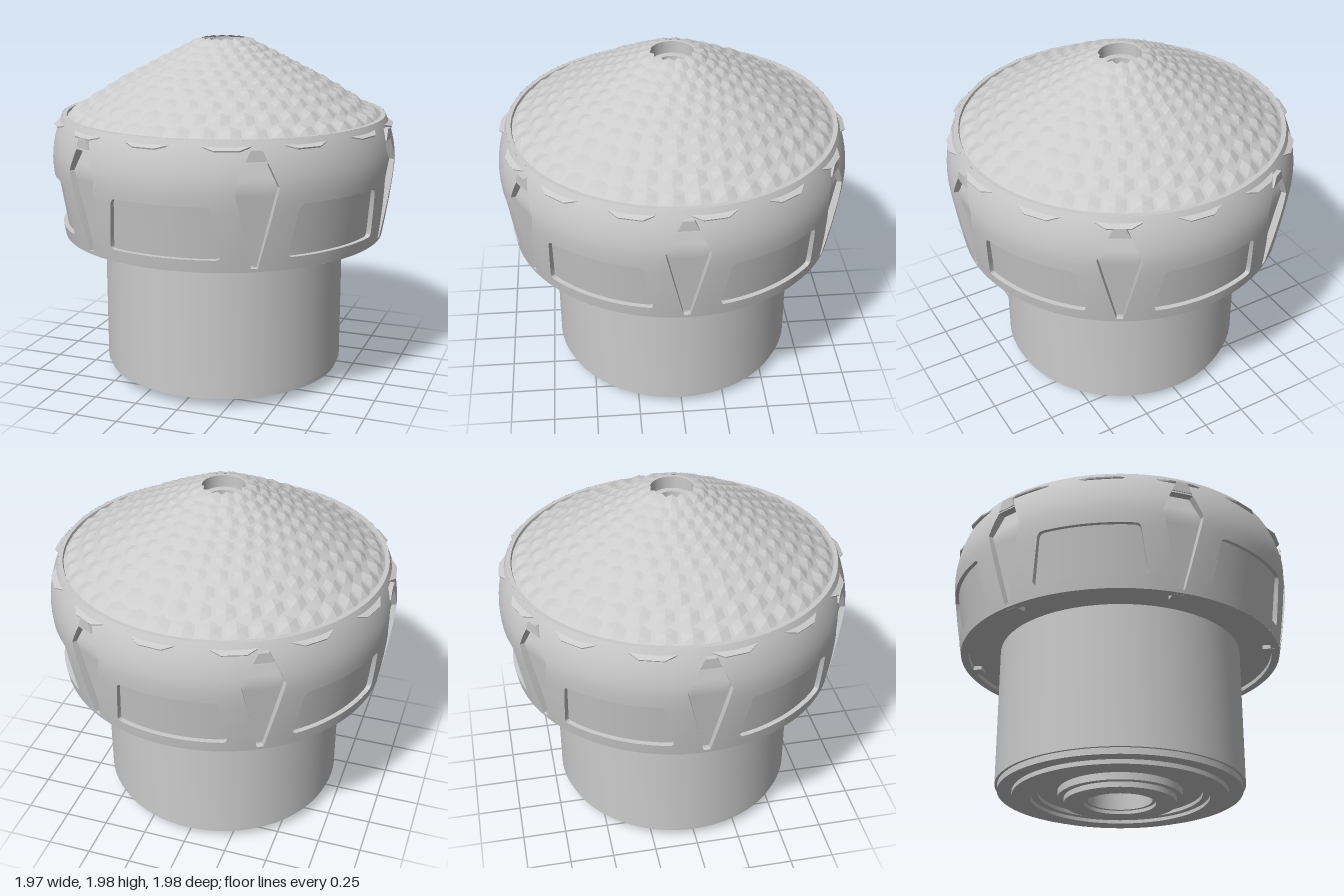
import * as THREE from 'three';
import { mergeGeometries, toCreasedNormals } from 'three/addons/utils/BufferGeometryUtils.js';

const smooth = new THREE.MeshStandardMaterial({ color: 0xcccccc, side: THREE.DoubleSide });
const faceted = new THREE.MeshStandardMaterial({ color: 0xcccccc, flatShading: true });
const { lerp, clamp } = THREE.MathUtils;
const SECTORS = 6, PITCH = Math.PI / 3;

// Piecewise linear lookup through [input, output] pairs
function ramp(pairs, v) {
  v = clamp(v, pairs[0][0], pairs[pairs.length - 1][0]);
  for (let i = 1; i < pairs.length; i++) {
    const [a, p] = pairs[i - 1], [b, q] = pairs[i];
    if (v <= b) return lerp(p, q, (v - a) / (b - a));
  }
}

// Head outline, recess half-angles and recess floors
const headRadius = y => y < 1.3
  ? 0.99 - 0.06 * ((1.3 - y) / 0.435) ** 1.3
  : 0.99 - 0.06 * ((y - 1.3) / 0.26) ** 2;
const WIN = [0.935, 1.225], KITE = [0.885, 1.445], CORNER = 0.025;
function windowAngle(y) {
  const v = clamp(y, ...WIN);
  const e = Math.max(0, CORNER - Math.min(v - WIN[0], WIN[1] - v));
  const half = ramp([[WIN[0], 0.312], [WIN[1], 0.277]], v) - CORNER + Math.sqrt(CORNER ** 2 - e ** 2);
  return Math.asin(half / headRadius(v));
}
const kiteAngle = y => ramp([[KITE[0], 0.018], [1.32, 0.118], [KITE[1], 0.062]], y) / headRadius(y);
const windowFloor = (a, y) => ramp([[WIN[0], 0.915], [WIN[1], 0.962]], y);
const kiteFloor = (a, y) =>
  ramp([[KITE[0], 0.9], [1.32, 0.955], [KITE[1], 0.925]], y) / Math.cos(a - PITCH / 2);
const wall = (a, y) => headRadius(y);

// Surface from a grid of points; rows run upward, columns to the right
function gridGeometry(rows) {
  const n = rows[0].length, pos = [], index = [];
  rows.forEach(row => row.forEach(p => pos.push(...p)));
  for (let j = 0; j < rows.length - 1; j++) for (let i = 0; i < n - 1; i++) {
    const a = j * n + i;
    index.push(a, a + 1, a + n + 1, a, a + n + 1, a + n);
  }
  const g = new THREE.BufferGeometry();
  g.setAttribute('position', new THREE.Float32BufferAttribute(pos, 3));
  g.setIndex(index);
  return g;
}
const polar = (a, r, y) => [r * Math.sin(a), y, r * Math.cos(a)];
const patch = (ys, from, to, n, radius) => gridGeometry(ys.map(y =>
  Array.from({ length: n + 1 }, (_, i) => {
    const a = lerp(from(y), to(y), i / n);
    return polar(a, radius(a, y), y);
  })));

// Recess sides: follow the outline and join wall to floor
function recessSides(ys, centre, half, n, floor) {
  const loop = [], top = ys[ys.length - 1];
  ys.forEach(y => loop.push([centre + half(y), y]));
  for (let i = 1; i < n; i++) loop.push([centre + half(top) * (1 - 2 * i / n), top]);
  [...ys].reverse().forEach(y => loop.push([centre - half(y), y]));
  for (let i = 1; i <= n; i++) loop.push([centre + half(ys[0]) * (2 * i / n - 1), ys[0]]);
  return gridGeometry([floor, wall].map(r => loop.map(([a, y]) => polar(a, r(a, y), y))));
}

// One sixth of the head: a window in the middle, a kite at its right edge
function sectorGeometry() {
  const ys = [0.865, 0.885, 0.91, 0.935, 0.938, 0.946, 0.96, 1.03, 1.1, 1.2, 1.214, 1.222,
    1.225, 1.27, 1.32, 1.36, 1.4, 1.445, 1.49, 1.525, 1.56];
  const span = (lo, hi) => ys.filter(y => y >= lo && y <= hi);
  const mid = PITCH / 2, parts = [];
  const holes = [[0, windowAngle, WIN, windowFloor, 12], [mid, kiteAngle, KITE, kiteFloor, 6]];
  for (const [c, half, [lo, hi], floor, n] of holes) {
    const l = y => c - half(y), r = y => c + half(y);
    parts.push(patch(span(0, lo), l, r, n, wall), patch(span(hi, 2), l, r, n, wall),
      patch(span(lo, hi), l, r, n, floor), recessSides(span(lo, hi), c, half, n, floor));
  }
  parts.push(patch(ys, windowAngle, y => mid - kiteAngle(y), 5, wall));
  parts.push(patch(ys, y => kiteAngle(y) - mid, y => -windowAngle(y), 5, wall));
  return toCreasedNormals(mergeGeometries(parts), 0.4);
}

function add(parent, name, geometry, material = smooth) {
  const m = new THREE.Mesh(geometry, material);
  m.name = name;
  parent.add(m);
  return m;
}
function lathe(parent, name, pts, segments = 72) {
  const g = new THREE.LatheGeometry(pts.map(p => new THREE.Vector2(...p)), segments);
  return add(parent, name, toCreasedNormals(g, 0.4));
}
function polygon(pts, depth) {
  const shape = new THREE.Shape(pts.map(p => new THREE.Vector2(...p)));
  return new THREE.ExtrudeGeometry(shape, { depth, bevelEnabled: false });
}

// Cone height over radius, and the honeycomb of shallow six-sided scales on it
const roofHeight = r => ramp([[0.15, 1.982], [0.6, 1.745], [0.92, 1.545]], r);
function scalesGeometry() {
  const tiles = [];
  let row = 0, w;
  for (let r = 0.17; r < 0.88; r += 0.75 * w, row++) {
    w = 0.066 + 0.08 * r;
    const count = row === 0 ? 14 : Math.round(2 * Math.PI * r / w);
    const slope = Math.atan(r < 0.6 ? 0.527 : 0.625);
    for (let i = 0; i < count; i++) {
      const a = (i + (row % 2) / 2) * 2 * Math.PI / count;
      const t = new THREE.Vector3(Math.cos(a), 0, -Math.sin(a));
      const n = new THREE.Vector3(Math.sin(a) * Math.sin(slope), Math.cos(slope), Math.cos(a) * Math.sin(slope));
      const m = new THREE.Matrix4().makeBasis(t, n, t.clone().cross(n));
      m.setPosition(...polar(a, r, roofHeight(r) - 0.008));
      tiles.push(new THREE.ConeGeometry(0.74 * w, 0.2 * w, 6).applyMatrix4(m));
    }
  }
  return mergeGeometries(tiles);
}

export function createModel() {
  const model = new THREE.Group();
  model.name = 'domedTower';

  // Lower drum with stepped, grooved base and a central bore
  lathe(model, 'drum', [[0, 0.25], [0.18, 0.25], [0.18, 0.02], [0.2, 0.02], [0.2, 0], [0.315, 0],
    [0.315, 0.03], [0.35, 0.03], [0.35, 0.07], [0.46, 0.07], [0.46, 0.05], [0.5, 0.05], [0.5, 0.03],
    [0.605, 0.03], [0.605, 0.055], [0.685, 0.055], [0.685, 0.09], [0.7, 0.09], [0.7, 0.89]]);

  // Head: wall, underside, clips and tabs
  const head = new THREE.Group();
  head.name = 'head';
  model.add(head);
  lathe(head, 'headUnderside', [[0.69, 0.89], [0.885, 0.89], [0.885, 0.865], [0.93, 0.865]]);
  const sector = sectorGeometry();
  const tab = polygon([[-0.058, 1.455], [0.058, 1.455], [0.03, 1.515], [-0.03, 1.515]], 0.05);
  tab.translate(0, 0, 0.924);
  for (let k = 0; k < SECTORS; k++) {
    add(head, 'headWall', sector).rotation.y = k * PITCH;
    const fitting = new THREE.Group();
    fitting.name = 'kiteFitting';
    fitting.rotation.y = (k + 0.5) * PITCH;
    head.add(fitting);
    add(fitting, 'tab', tab, faceted);
    add(fitting, 'clip', new THREE.BoxGeometry(0.07, 0.024, 0.07), faceted).position.set(0, 0.876, 0.87);
  }

  // Scale tips poking through the wall just under the rim
  const tip = polygon([[-0.15, -0.03], [0.15, -0.03], [0.065, 0.027], [-0.065, 0.027]], 0.008);
  tip.rotateX(Math.PI / 2 + 0.4).translate(0, 1.525, 0.948);
  for (let k = 0; k < 14; k++) {
    add(head, 'scaleTip', tip, faceted).rotation.y = -0.08 + k * Math.PI / 7;
  }

  // Roof: cone with a stepped opening at the top, covered with scales
  const roof = new THREE.Group();
  roof.name = 'roof';
  model.add(roof);
  lathe(roof, 'roofCone', [[0.93, 1.56], [0.905, 1.56], [0.9, 1.545], [0.6, 1.737], [0.15, 1.97],
    [0.12, 1.97], [0.12, 1.9], [0.08, 1.9], [0.08, 1.82], [0, 1.82]]);
  add(roof, 'scales', scalesGeometry(), faceted);

  return model;
}
